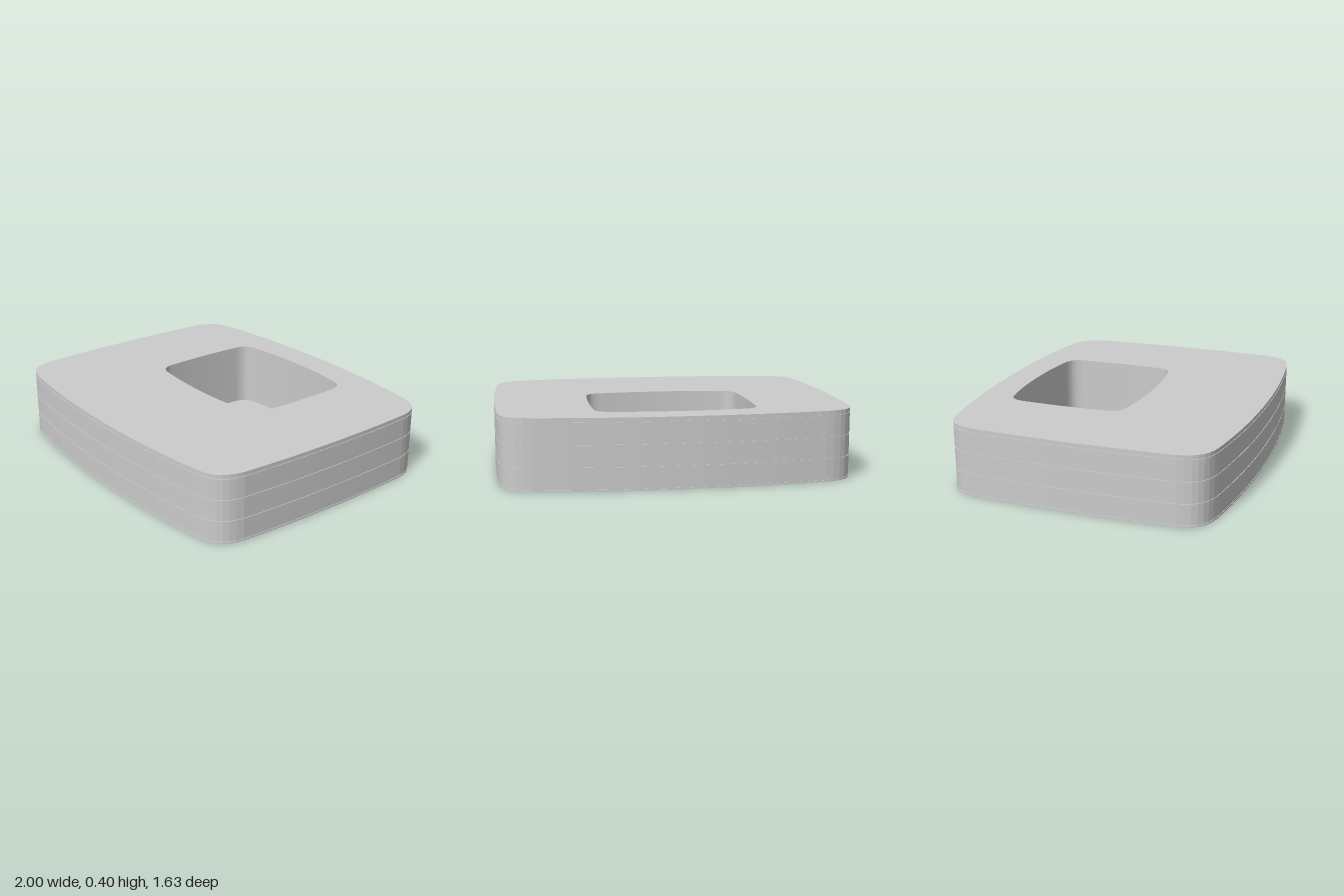
import * as THREE from 'three';

const HEIGHT = 0.395, FLOOR = 0.012;
const HOLE_SCALE = 0.464, HOLE_Z = -0.262;
const SEAMS = [0.012, 0.132, 0.253, 0.373];

// One quarter of the bulged, round-cornered outline, mirrored to a full loop of (x, z)
function outline() {
  const v = (x, z) => new THREE.Vector2(x, z);
  const quarter = [
    ...new THREE.QuadraticBezierCurve(v(1, 0), v(1, 0.3), v(0.98, 0.58)).getPoints(8),
    ...new THREE.CubicBezierCurve(v(0.98, 0.58), v(0.963, 0.69), v(0.92, 0.735), v(0.8, 0.757)).getPoints(7).slice(1),
    ...new THREE.QuadraticBezierCurve(v(0.8, 0.757), v(0.42, 0.815), v(0, 0.815)).getPoints(8).slice(1),
  ];
  const half = [...quarter, ...quarter.slice(0, -1).reverse().map((p) => v(-p.x, p.y))];
  return [...half, ...half.slice(1, -1).reverse().map((p) => v(p.x, -p.y))];
}

// Wall swept through [y, inset] levels; flip turns it to face inward
function wall(loop, levels, flip) {
  const n = loop.length, pos = [], idx = [];
  for (const [y, inset] of levels) {
    for (const p of loop) pos.push(p.x * (1 - inset), y, p.y * (1 - inset));
  }
  for (let l = 0; l < levels.length - 1; l++) {
    for (let i = 0; i < n; i++) {
      const a = l * n + i, b = l * n + (i + 1) % n, c = a + n, d = b + n;
      if (flip) idx.push(a, b, c, b, d, c);
      else idx.push(a, c, b, b, c, d);
    }
  }
  const g = new THREE.BufferGeometry();
  g.setAttribute('position', new THREE.Float32BufferAttribute(pos, 3));
  g.setIndex(idx);
  g.computeVertexNormals();
  return g;
}

export function createModel() {
  const group = new THREE.Group();
  const mat = new THREE.MeshStandardMaterial({ color: 0xcccccc, flatShading: true });
  const thin = new THREE.MeshStandardMaterial({ color: 0xcccccc, side: THREE.DoubleSide });
  const add = (name, geometry, material = mat) => {
    const mesh = new THREE.Mesh(geometry, material);
    mesh.name = name;
    group.add(mesh);
    return mesh;
  };

  const outer = outline();
  const hole = outer.map((p) => p.clone().multiplyScalar(HOLE_SCALE));

  // Fine grooves between the stacked layers
  const levels = [[0, 0]];
  for (const y of SEAMS) {
    levels.push([y - 0.003, 0], [y - 0.003, 0.004], [y + 0.003, 0.004], [y + 0.003, 0]);
  }
  levels.push([HEIGHT, 0]);
  add('outerWall', wall(outer, levels, false));

  // Plain wall of the off-centre pocket
  add('pocketWall', wall(hole, [[0, 0], [HEIGHT, 0]], true)).position.z = HOLE_Z;

  // Top and bottom faces with the pocket cut out (shape y becomes -z)
  const face = new THREE.Shape(outer.map((p) => new THREE.Vector2(p.x, -p.y)));
  face.holes.push(new THREE.Path(hole.map((p) => new THREE.Vector2(p.x, -p.y - HOLE_Z))));
  add('topFace', new THREE.ShapeGeometry(face).rotateX(-Math.PI / 2).translate(0, HEIGHT, 0));
  // The outline is symmetric, so the bottom only needs the hole on the other side
  const under = new THREE.Shape(outer);
  under.holes.push(new THREE.Path(hole.map((p) => new THREE.Vector2(p.x, p.y + HOLE_Z))));
  add('bottomFace', new THREE.ShapeGeometry(under).rotateX(Math.PI / 2));

  // Thin floor, slightly recessed from below
  const floor = new THREE.ShapeGeometry(new THREE.Shape(hole)).rotateX(-Math.PI / 2);
  add('pocketFloor', floor, thin).position.set(0, FLOOR, HOLE_Z);

  return group;
}
